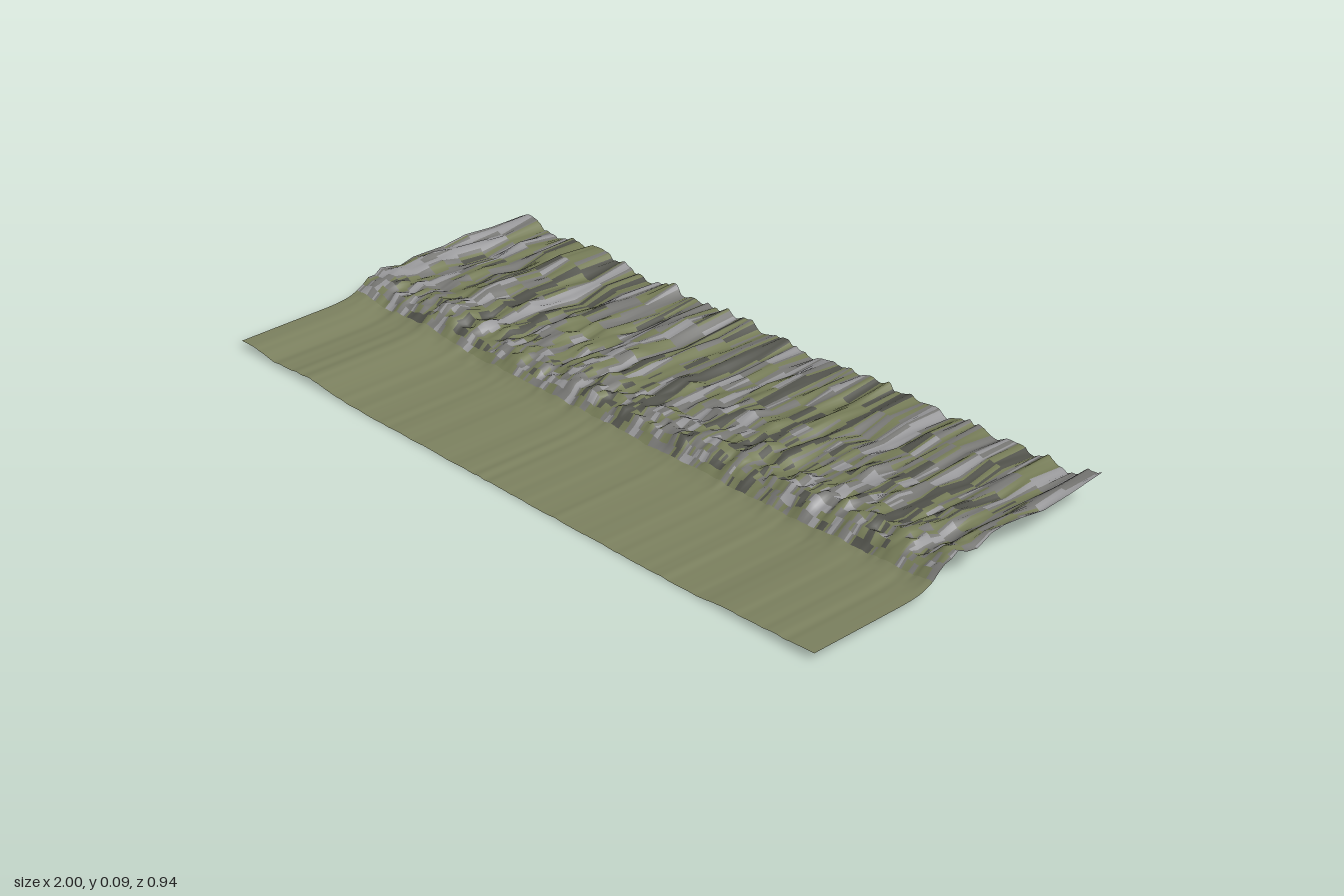
import * as THREE from 'three';

const COLUMNS = 300;

// Cross-section from the front meadow to the back: z, height, roughness
const PROFILE = [
  [0.472, 0, 0], [0.33, 0, 0], [0.2, 0, 0.02], [0.17, 0.001, 0.04], [0.14, 0.004, 0.08],
  [0.12, 0.009, 0.15], [0.1, 0.018, 0.3], [0.08, 0.032, 0.55], [0.062, 0.044, 0.8],
  [0.04, 0.048, 0.9], [0.02, 0.052, 1], [-0.01, 0.05, 0.9], [-0.045, 0.046, 1],
  [-0.09, 0.049, 0.8], [-0.135, 0.05, 1], [-0.19, 0.048, 0.85], [-0.27, 0.046, 1],
  [-0.36, 0.05, 0.85], [-0.472, 0.052, 1],
];

// Height of the meadow edge along x
const EDGE = [
  [-1, 0.02], [-0.94, 0.02], [-0.87, 0.009], [-0.8, 0.013], [-0.72, 0.019], [-0.64, 0.009],
  [-0.56, 0.003], [0, 0.003], [0.64, 0.003], [0.72, 0.011], [0.82, 0.015], [0.92, 0.017], [1, 0.021],
];

function edgeHeight(x) {
  let i = 1;
  while (i < EDGE.length - 1 && x > EDGE[i][0]) i++;
  const [x0, y0] = EDGE[i - 1], [x1, y1] = EDGE[i];
  return THREE.MathUtils.lerp(y0, y1, THREE.MathUtils.clamp((x - x0) / (x1 - x0), 0, 1));
}

// Repeatable value noise in -1..1
function hash(i, seed) {
  const s = Math.sin(i * 127.1 + seed * 311.7) * 43758.5453;
  return (s - Math.floor(s)) * 2 - 1;
}
function noise(t, seed) {
  const i = Math.floor(t);
  return THREE.MathUtils.lerp(hash(i, seed), hash(i + 1, seed), THREE.MathUtils.smoothstep(t - i, 0, 1));
}

// Long ridges run front to back; each row adds its own finer crags
function crag(x, row) {
  return 0.009 * noise(x * 13, 1) + 0.008 * noise(x * 32, 2)
    + 0.010 * noise(x * 24, 10 + row) + 0.006 * noise(x * 70, 40 + row);
}

export function createModel() {
  const model = new THREE.Group();
  model.name = 'ridgeTerrain';

  // Height grid
  const positions = [];
  PROFILE.forEach(([z, rise, rough], row) => {
    for (let c = 0; c <= COLUMNS; c++) {
      const x = -1 + (2 * c) / COLUMNS;
      const ripple = 0.0015 * noise(x * 45, 5);
      const y = edgeHeight(x) + ripple + rise + rough * crag(x, row);
      positions.push(x, THREE.MathUtils.clamp(y, 0, 0.096), z);
    }
  });

  // Sort the faces by ground cover
  const cover = { meadow: [], moss: [], paleRock: [], greyRock: [], darkRock: [] };
  for (let r = 0; r < PROFILE.length - 1; r++) {
    for (let c = 0; c < COLUMNS; c++) {
      const x = -1 + (2 * c + 1) / COLUMNS;
      const z = (PROFILE[r][0] + PROFILE[r + 1][0]) / 2;
      const streak = noise(x * 38, 7) * 0.6 + noise(x * 75, 8) * 0.35
        + noise(x * 60, 80 + r) * 0.5 + 0.3 * x * x;
      let kind = 'meadow';
      if (z < 0.1) {
        if (streak < -0.4) kind = 'darkRock';
        else if (streak < 0.12) kind = 'moss';
        else kind = streak < 0.5 ? 'greyRock' : 'paleRock';
      }
      const a = r * (COLUMNS + 1) + c, b = a + 1;
      const d = a + COLUMNS + 1, e = d + 1;
      cover[kind].push(a, b, e, a, e, d);
    }
  }

  // Shared smooth normals keep the surface continuous between covers
  const sheet = new THREE.BufferGeometry();
  sheet.setAttribute('position', new THREE.Float32BufferAttribute(positions, 3));
  sheet.setIndex(Object.values(cover).flat());
  sheet.computeVertexNormals();

  const colors = {
    meadow: 0x7d8260, moss: 0x757b57, paleRock: 0x98989a, greyRock: 0x777774, darkRock: 0x50514a,
  };
  for (const [name, index] of Object.entries(cover)) {
    const geometry = new THREE.BufferGeometry();
    geometry.setAttribute('position', sheet.getAttribute('position'));
    geometry.setAttribute('normal', sheet.getAttribute('normal'));
    geometry.setIndex(index);
    const mesh = new THREE.Mesh(geometry, new THREE.MeshStandardMaterial({
      color: colors[name], side: THREE.DoubleSide,
    }));
    mesh.name = name;
    model.add(mesh);
  }
  return model;
}
